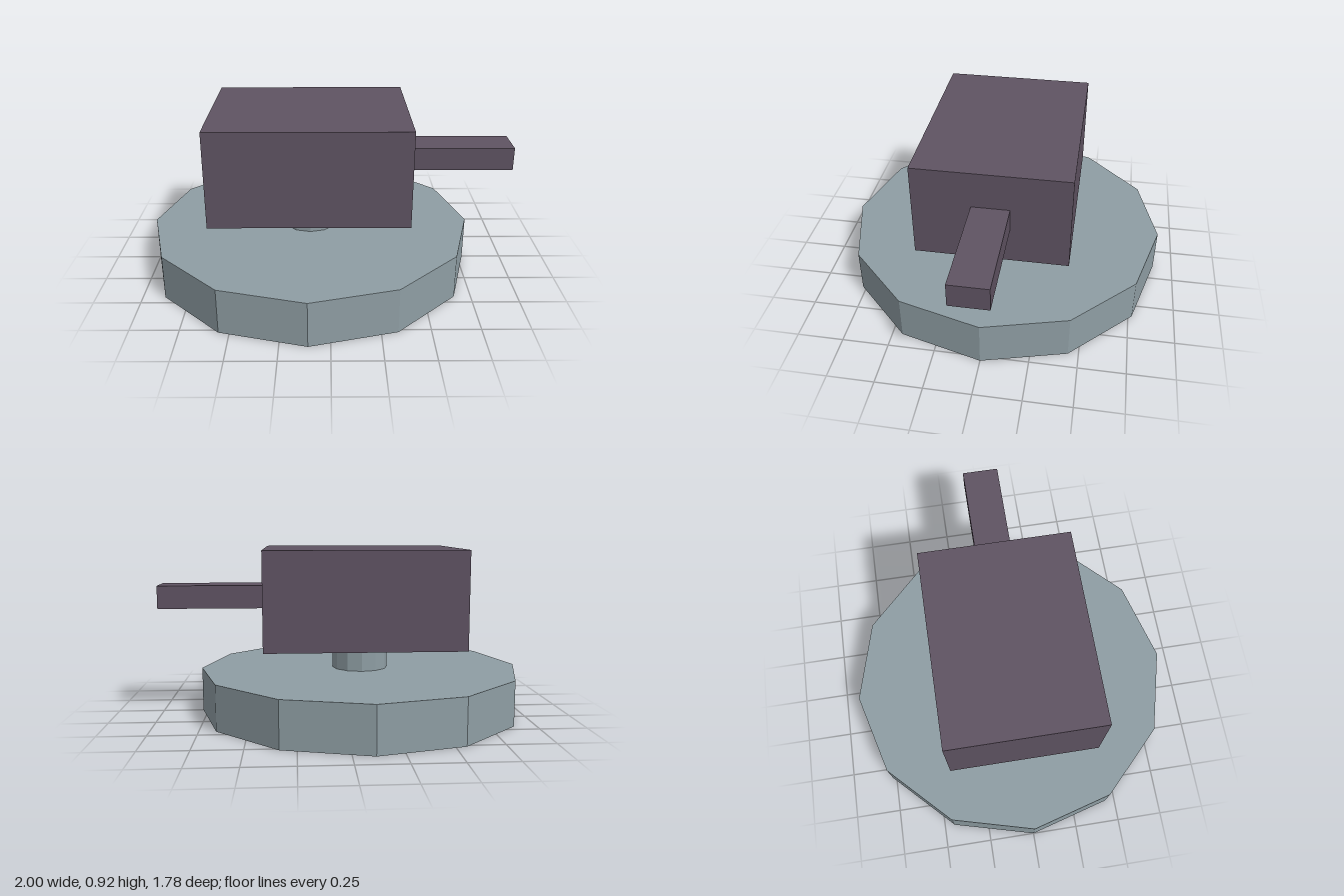
import * as THREE from 'three';

export function createModel() {
  const model = new THREE.Group();
  const steel = new THREE.MeshStandardMaterial({ color: 0x8f9ea4, flatShading: true });
  steel.name = 'blue grey';
  const plum = new THREE.MeshStandardMaterial({ color: 0x5f5362, flatShading: true });
  plum.name = 'dark plum';

  const axisX = -0.11; // shared centre of base, neck and housing

  function add(name, geometry, material, x, bottom, height) {
    const mesh = new THREE.Mesh(geometry, material);
    mesh.name = name;
    mesh.position.set(x, bottom + height / 2, 0);
    model.add(mesh);
  }
  const disc = (radius, height) => new THREE.CylinderGeometry(radius, radius, height, 12);

  // Twelve-sided base and the short neck it carries
  add('base', disc(0.89, 0.243), steel, axisX, 0, 0.243);
  add('neck', disc(0.155, 0.15), steel, axisX, 0.243, 0.15);

  // Turret housing with a flat barrel pointing to +x
  add('housing', new THREE.BoxGeometry(1.06, 0.523, 0.82), plum, axisX, 0.393, 0.523);
  add('barrel', new THREE.BoxGeometry(0.58, 0.125, 0.2), plum, 0.71, 0.591, 0.125);

  return model;
}
